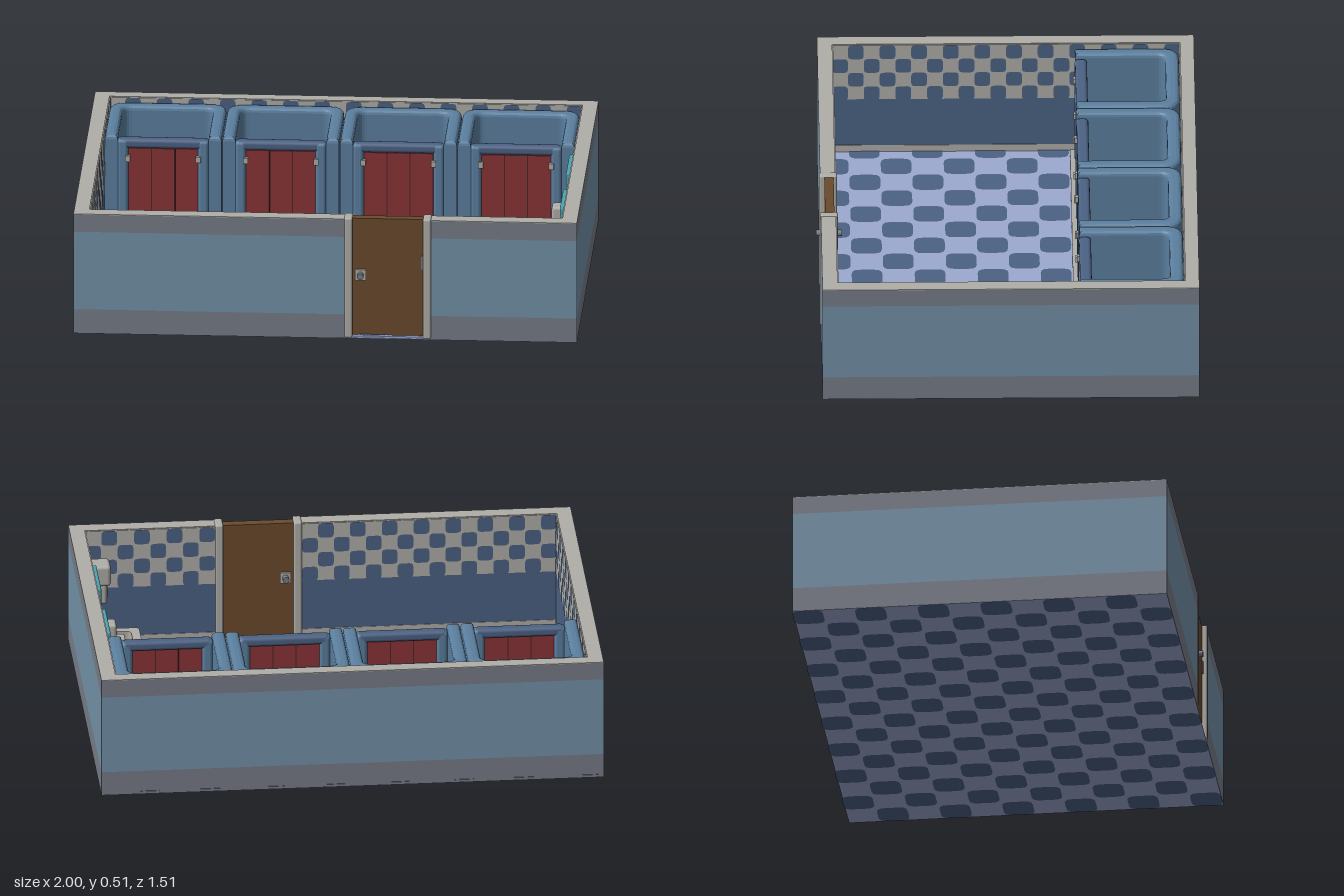
import * as THREE from 'three';
import { mergeGeometries } from 'three/addons/utils/BufferGeometryUtils.js';
import { RoundedBoxGeometry } from 'three/addons/geometries/RoundedBoxGeometry.js';

const mat = (name, color, extra = {}) => new THREE.MeshStandardMaterial({ name, color, ...extra });
const M = {
  wall: mat('wallBlue', 0x7391a8),
  band: mat('bandGrey', 0x777c87),
  stone: mat('lightGrey', 0xb0aea8),
  floor: mat('floorLilac', 0x9ca8d0),
  navy: mat('navy', 0x4c6284),
  stall: mat('stallBlue', 0x5b7f9f),
  teal: mat('teal', 0x4aa5b2),
  red: mat('doorRed', 0x8a3336),
  brown: mat('doorBrown', 0x6b4a2c),
  dark: mat('darkGroove', 0x47262a),
};

function add(parent, name, geo, material) {
  const m = new THREE.Mesh(geo, material);
  m.name = name;
  parent.add(m);
  return m;
}
// Box given by its limits; r > 0 rounds the edges
function box(parent, name, material, x0, x1, y0, y1, z0, z1, r = 0) {
  const s = [x1 - x0, y1 - y0, z1 - z0];
  const g = r ? new RoundedBoxGeometry(...s, 2, r) : new THREE.BoxGeometry(...s);
  g.translate((x0 + x1) / 2, (y0 + y1) / 2, (z0 + z1) / 2);
  return add(parent, name, g, material);
}
function roundedRect(w, h, r, S = THREE.Shape) {
  const s = new S(), a = w / 2, b = h / 2;
  s.moveTo(-a + r, -b);
  s.lineTo(a - r, -b); s.quadraticCurveTo(a, -b, a, -b + r);
  s.lineTo(a, b - r); s.quadraticCurveTo(a, b, a - r, b);
  s.lineTo(-a + r, b); s.quadraticCurveTo(-a, b, -a, b - r);
  s.lineTo(-a, -b + r); s.quadraticCurveTo(-a, -b, -a + r, -b);
  return s;
}

// Wall section: grey, blue and grey bands with a pale cap
function wallSection(parent, name, x0, x1, z0, z1) {
  const g = new THREE.Group();
  g.name = name;
  box(g, 'lowerBand', M.band, x0, x1, 0, 0.1, z0, z1);
  box(g, 'middleBand', M.wall, x0, x1, 0.1, 0.425, z0, z1);
  box(g, 'upperBand', M.band, x0, x1, 0.425, 0.497, z0, z1);
  box(g, 'cap', M.stone, x0, x1, 0.497, 0.5, z0, z1);
  parent.add(g);
}

// Inner lining: skirting, navy lower panel, tiled upper panel; faces local +z
function lining(parent, name, len, x, z, rotY) {
  const g = new THREE.Group(), h = len / 2, c = 0.0625;
  g.name = name;
  box(g, 'skirting', M.stone, -h, h, 0.01, 0.04, 0, 0.006);
  box(g, 'lowerPanel', M.navy, -h, h, 0.04, 0.25, 0, 0.004);
  box(g, 'upperPanel', M.stone, -h, h, 0.25, 0.497, 0, 0.004);
  const tiles = [], n = Math.floor(len / c);
  for (let i = 0; i < n; i++) for (let j = 0; j < 4; j++) {
    if ((i + j) % 2) continue;
    tiles.push(new THREE.ShapeGeometry(roundedRect(c, c, 0.014), 2)
      .translate(-h + (i + 0.5) * len / n, 0.247 + (j + 0.5) * c, 0.006));
  }
  add(g, 'wallTiles', mergeGeometries(tiles), M.navy);
  g.position.set(x, 0, z);
  g.rotation.y = rotY;
  parent.add(g);
}

function buildFloor(root) {
  box(root, 'floor', M.floor, -0.998, 0.998, 0.002, 0.01, -0.753, 0.738);
  const tiles = [], c = 0.125;
  for (let i = 0; i < 16; i++) for (let j = 0; j < 12; j++) {
    if ((i + j) % 2) continue;
    const x = -1 + (i + 0.5) * c, z = -0.76 + (j + 0.5) * c;
    const tile = new THREE.ShapeGeometry(roundedRect(0.122, 0.122, 0.032), 3);
    tiles.push(tile.clone().rotateX(-Math.PI / 2).translate(x, 0.0125, z));
    tiles.push(tile.rotateX(Math.PI / 2).translate(x, -0.001, z));
  }
  add(root, 'floorTiles', mergeGeometries(tiles), M.navy);
  // base sheet hides the wall bottoms so the tiling reads from below
  box(root, 'floorUnderside', M.floor, -1, 1, -0.0005, 0.001, -0.755, 0.74);
  box(root, 'stallFloor', M.stone, -0.94, 0.94, 0.01, 0.016, -0.7, -0.264);
}

function buildToilet(g) {
  box(g, 'cistern', M.stone, -0.09, 0.09, 0.11, 0.25, -0.635, -0.585, 0.012);
  box(g, 'cisternLid', M.stone, -0.1, 0.1, 0.245, 0.265, -0.64, -0.578, 0.009);
  const profile = [[0.045, 0], [0.04, 0.04], [0.05, 0.08], [0.07, 0.11], [0.072, 0.125],
    [0.045, 0.125], [0.035, 0.09], [0.0, 0.075]].map(p => new THREE.Vector2(...p));
  const bowl = add(g, 'toiletBowl', new THREE.LatheGeometry(profile, 24), M.stone);
  bowl.position.set(0, 0.015, -0.5);
  bowl.scale.z = 1.28;
  const seat = add(g, 'toiletSeat', new THREE.TorusGeometry(0.052, 0.012, 8, 28).rotateX(Math.PI / 2), M.teal);
  seat.position.set(0, 0.142, -0.497);
  seat.scale.set(1, 0.7, 1.28);
  box(g, 'bowlBack', M.stone, -0.05, 0.05, 0.016, 0.13, -0.6, -0.55, 0.01);
}

function buildStall(x) {
  const g = new THREE.Group();
  g.name = 'toiletStall';
  // U-shaped partition, plan drawn with the back upwards
  const a = 0.232, i = 0.18, f = 0.283, b = 0.695, d = 0.64, s = new THREE.Shape();
  s.moveTo(a, f);
  s.lineTo(a, b - 0.07); s.quadraticCurveTo(a, b, a - 0.07, b);
  s.lineTo(-a + 0.07, b); s.quadraticCurveTo(-a, b, -a, b - 0.07);
  s.lineTo(-a, f); s.lineTo(-i, f);
  s.lineTo(-i, d - 0.035); s.quadraticCurveTo(-i, d, -i + 0.035, d);
  s.lineTo(i - 0.035, d); s.quadraticCurveTo(i, d, i, d - 0.035);
  s.lineTo(i, f);
  const shell = new THREE.ExtrudeGeometry(s, {
    depth: 0.435, bevelThickness: 0.018, bevelSize: 0.018, bevelOffset: -0.018, bevelSegments: 3, curveSegments: 6,
  }).rotateX(-Math.PI / 2).translate(0, 0.028, 0);
  add(g, 'partition', shell, M.stall);
  // front frame and panelled door
  for (const k of [-1, 1]) {
    box(g, 'doorPost', M.stall, k * 0.16 - 0.022, k * 0.16 + 0.022, 0.012, 0.462, -0.33, -0.281, 0.014);
  }
  box(g, 'header', M.navy, -0.178, 0.178, 0.425, 0.464, -0.33, -0.283, 0.014);
  box(g, 'stallDoor', M.red, -0.138, 0.138, 0.06, 0.425, -0.316, -0.29);
  for (const k of [-1, 1]) {
    box(g, 'doorGroove', M.dark, k * 0.046 - 0.002, k * 0.046 + 0.002, 0.06, 0.425, -0.317, -0.289);
    for (const y of [0.11, 0.385]) {
      box(g, 'hinge', M.stone, k * 0.14 - 0.01, k * 0.14 + 0.01, y - 0.012, y + 0.012, -0.292, -0.274);
    }
  }
  buildToilet(g);
  // paper holder on the side partition
  box(g, 'paperHolder', M.stone, 0.09, 0.135, 0.18, 0.24, -0.54, -0.46, 0.01);
  box(g, 'paperBracket', M.band, 0.125, 0.182, 0.2, 0.225, -0.525, -0.475);
  g.position.x = x;
  return g;
}

function buildSink(z) {
  const g = new THREE.Group();
  g.name = 'sink';
  const rim = roundedRect(0.19, 0.235, 0.015);
  rim.holes.push(roundedRect(0.12, 0.17, 0.02, THREE.Path));
  add(g, 'basin', new THREE.ExtrudeGeometry(rim, { depth: 0.06, bevelEnabled: false, curveSegments: 3 })
    .rotateX(-Math.PI / 2).translate(0.84, 0.12, 0), M.stone);
  box(g, 'basinBottom', M.stone, 0.765, 0.935, 0.1, 0.14, -0.1, 0.1, 0.01);
  box(g, 'pedestal', M.stone, 0.86, 0.935, 0.01, 0.11, -0.04, 0.04, 0.01);
  const spout = new THREE.CatmullRomCurve3([[0.925, 0.18], [0.92, 0.215], [0.88, 0.225], [0.845, 0.205]]
    .map(p => new THREE.Vector3(p[0], p[1], 0)));
  add(g, 'tap', new THREE.TubeGeometry(spout, 12, 0.009, 8), M.stall);
  box(g, 'tapHandle', M.stall, 0.905, 0.925, 0.18, 0.2, -0.03, 0.03, 0.005);
  box(g, 'mirror', M.teal, 0.915, 0.937, 0.25, 0.46, -0.117, 0.117, 0.006);
  g.position.z = z;
  return g;
}

function buildWashArea(root) {
  for (const z of [-0.098, 0.322]) root.add(buildSink(z));
  box(root, 'dispenserPlate', M.teal, 0.913, 0.937, 0.25, 0.38, 0.05, 0.17, 0.006);
  box(root, 'soapDispenser', M.stone, 0.865, 0.92, 0.27, 0.36, 0.075, 0.145, 0.012);
  box(root, 'soapLever', M.stone, 0.83, 0.87, 0.275, 0.295, 0.085, 0.135, 0.006);
  box(root, 'handDryer', M.stone, 0.85, 0.936, 0.33, 0.42, 0.505, 0.595, 0.015);
  box(root, 'dryerBase', M.stone, 0.865, 0.936, 0.25, 0.335, 0.515, 0.585, 0.012);
  box(root, 'dryerOutlet', M.band, 0.86, 0.867, 0.275, 0.31, 0.53, 0.57);
}

function buildEntrance(root) {
  const g = new THREE.Group();
  g.name = 'entrance';
  box(g, 'entranceDoor', M.brown, 0.1, 0.395, 0.004, 0.498, 0.686, 0.723);
  for (const x of [0.075, 0.388]) box(g, 'doorFrame', M.stone, x, x + 0.033, 0.002, 0.505, 0.672, 0.744, 0.008);
  for (const k of [-1, 1]) {
    const z = 0.7045 + k * 0.022;
    box(g, 'lockPlate', M.stone, 0.118, 0.162, 0.24, 0.285, z - 0.005, z + 0.005);
    const knob = add(g, 'doorKnob', new THREE.CylinderGeometry(0.013, 0.013, 0.03, 16).rotateX(Math.PI / 2), M.band);
    knob.position.set(0.14, 0.263, 0.7045 + k * 0.036);
  }
  box(g, 'doorHinge', M.band, 0.38, 0.392, 0.29, 0.345, 0.72, 0.728);
  root.add(g);
}

export function createModel() {
  const root = new THREE.Group();
  root.name = 'publicWashroom';
  buildFloor(root);
  wallSection(root, 'backWall', -1, 1, -0.755, -0.7);
  wallSection(root, 'leftWall', 0.94, 1, -0.7, 0.68);
  wallSection(root, 'rightWall', -1, -0.94, -0.7, 0.68);
  wallSection(root, 'frontWallLong', -1, 0.09, 0.68, 0.74);
  wallSection(root, 'frontWallShort', 0.41, 1, 0.68, 0.74);
  lining(root, 'backLining', 1.88, 0, -0.7, 0);
  lining(root, 'rightLining', 1.38, -0.94, -0.01, Math.PI / 2);
  lining(root, 'leftLining', 1.38, 0.94, -0.01, -Math.PI / 2);
  lining(root, 'frontLiningLong', 1.015, -0.4325, 0.68, Math.PI);
  lining(root, 'frontLiningShort', 0.52, 0.68, 0.68, Math.PI);
  for (let i = 0; i < 4; i++) root.add(buildStall(-0.703 + i * 0.4675));
  buildWashArea(root);
  buildEntrance(root);
  return root;
}
